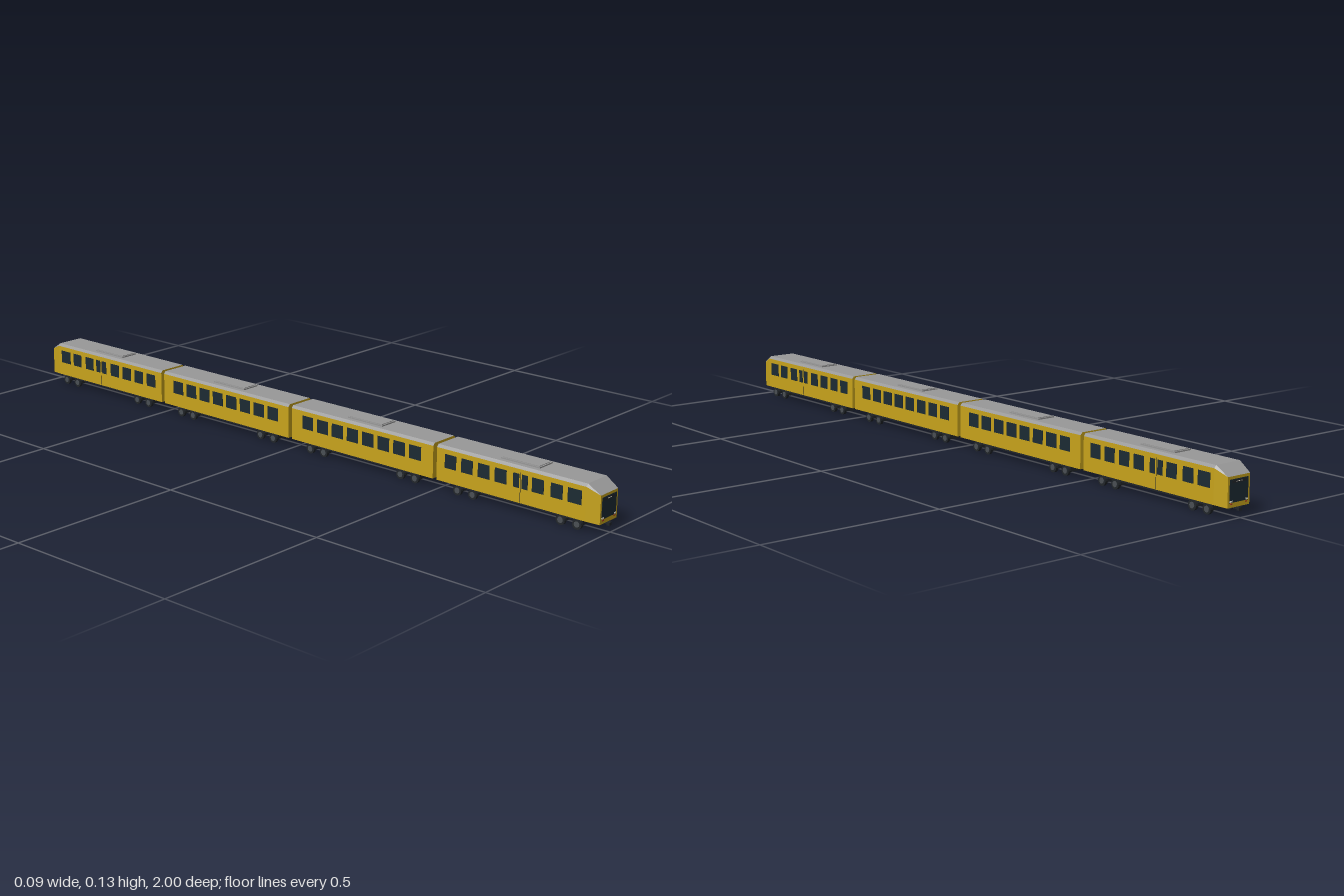
import * as THREE from 'three';

const mat = (color) => new THREE.MeshStandardMaterial({ color, flatShading: true });
const YELLOW = mat(0xc8a41c), ROOF = mat(0x999999), GLASS = mat(0x1c2b33);
const DARK = mat(0x22262a), STEEL = mat(0x4a4f54), LAMP = mat(0xf2eedc), RED = mat(0xb03a20);

function add(parent, name, geo, material, x = 0, y = 0, z = 0) {
  const m = new THREE.Mesh(geo, material);
  m.name = name;
  m.position.set(x, y, z);
  parent.add(m);
  return m;
}
function box(parent, name, material, w, h, d, x, y, z) {
  return add(parent, name, new THREE.BoxGeometry(w, h, d), material, x, y, z);
}

// half profile from floor to roof edge, mirrored into a closed ring (counter-clockwise seen from +z)
function ring(z, w, floor, shoulder, roofW, top) {
  return [[w, floor], [w, shoulder], [roofW, top], [-roofW, top], [-w, shoulder], [-w, floor]]
    .map(([x, y]) => [x, y, z]);
}

// surface through rings running towards +z, keeping only the listed strips, with optional end caps
function loft(rings, strips, caps) {
  const pos = [];
  for (let r = 0; r + 1 < rings.length; r++) {
    for (const i of strips) {
      const j = (i + 1) % 6;
      const a = rings[r][i], b = rings[r][j], c = rings[r + 1][j], d = rings[r + 1][i];
      pos.push(...a, ...b, ...c, ...a, ...c, ...d);
    }
  }
  if (caps) {
    const a = rings[0], b = rings[rings.length - 1];
    for (let i = 1; i < 5; i++) pos.push(...a[0], ...a[i + 1], ...a[i], ...b[0], ...b[i], ...b[i + 1]);
  }
  const g = new THREE.BufferGeometry();
  g.setAttribute('position', new THREE.Float32BufferAttribute(pos, 3));
  g.computeVertexNormals();
  return g;
}

// bogie with two wheelsets
function bogie(car, z) {
  const b = new THREE.Group();
  b.name = 'bogie';
  b.position.z = z;
  car.add(b);
  box(b, 'bogieBeam', DARK, 0.05, 0.010, 0.07, 0, 0.025, 0);
  for (const dz of [-0.024, 0.024]) {
    box(b, 'axleHousing', DARK, 0.064, 0.016, 0.02, 0, 0.018, dz);
    for (const s of [-1, 1]) {
      const wheel = add(b, 'wheel', new THREE.CylinderGeometry(0.0135, 0.0135, 0.008, 16), DARK, s * 0.037, 0.0135, dz);
      wheel.rotation.z = Math.PI / 2;
      const hub = add(b, 'wheelHub', new THREE.CylinderGeometry(0.008, 0.008, 0.002, 12), STEEL, s * 0.041, 0.0135, dz);
      hub.rotation.z = Math.PI / 2;
    }
  }
}

// windows on both sides: list of [z, width]
function windows(car, list) {
  for (const [z, w] of list) {
    for (const s of [-1, 1]) box(car, 'sideWindow', GLASS, 0.001, 0.037, w, s * 0.0461, 0.086, z);
  }
}

// parts common to every car, spanning z0 to z1
function makeCar(name, z0, z1, mid, nose) {
  const car = new THREE.Group();
  car.name = name;
  const full = (z) => ring(z, 0.046, 0.029, 0.117, 0.04, 0.124);
  const rings = nose
    ? [full(z0), full(0.957), ring(z1, 0.037, 0.026, 0.101, 0.037, 0.1011)]
    : [full(z0), full(z1)];
  add(car, 'bodyShell', loft(rings, [0, 4, 5], true), YELLOW);
  add(car, 'roof', loft(rings, [1, 2, 3], false), ROOF);
  // roof unit
  box(car, 'roofUnitBase', ROOF, 0.054, 0.004, 0.118, 0, 0.1255, mid);
  box(car, 'roofUnitLid', ROOF, 0.048, 0.003, 0.11, 0, 0.1275, mid);
  // underfloor equipment
  box(car, 'underframe', DARK, 0.076, 0.008, 0.37, 0, 0.026, mid);
  for (const s of [-1, 1]) bogie(car, mid + s * 0.157);
  return car;
}

function makeMiddleCar() {
  const car = makeCar('middleCar', 0.006, 0.494, 0.25, false);
  const list = [];
  for (let i = 0; i < 8; i++) list.push([0.25 + (i - 3.5) * 0.053, 0.039]);
  windows(car, list);
  return car;
}

function makeEndCar() {
  const car = makeCar('endCar', 0.506, 0.993, 0.75, true);
  windows(car, [[0.925, 0.04], [0.873, 0.035], [0.818, 0.035], [0.779, 0.018], [0.753, 0.018],
    [0.706, 0.036], [0.654, 0.036], [0.602, 0.036], [0.55, 0.036]]);
  // seam between the door leaves
  for (const s of [-1, 1]) box(car, 'doorSeam', DARK, 0.0006, 0.078, 0.0012, s * 0.0461, 0.07, 0.766);
  // cab front
  box(car, 'windscreen', GLASS, 0.062, 0.056, 0.001, 0, 0.066, 0.9934);
  box(car, 'destinationPanel', DARK, 0.046, 0.007, 0.001, 0, 0.088, 0.9938);
  for (let i = -2; i <= 2; i++) box(car, 'markerLamp', LAMP, 0.0025, 0.0018, 0.001, i * 0.004, 0.088, 0.9942);
  for (const s of [-1, 1]) {
    box(car, 'headlight', LAMP, 0.009, 0.004, 0.001, s * 0.0265, 0.041, 0.9942);
    box(car, 'tailLight', RED, 0.007, 0.003, 0.001, s * 0.025, 0.035, 0.9936);
  }
  // coupler below the nose
  box(car, 'couplerBar', DARK, 0.006, 0.006, 0.05, 0, 0.022, 0.972);
  box(car, 'couplerHead', DARK, 0.010, 0.008, 0.008, 0, 0.021, 0.996);
  return car;
}

export function createModel() {
  const train = new THREE.Group();
  train.name = 'train';
  // the rear half is the front half turned around
  for (const [name, turn] of [['frontHalf', 0], ['rearHalf', Math.PI]]) {
    const half = new THREE.Group();
    half.name = name;
    half.rotation.y = turn;
    half.add(makeEndCar(), makeMiddleCar());
    train.add(half);
  }
  return train;
}
